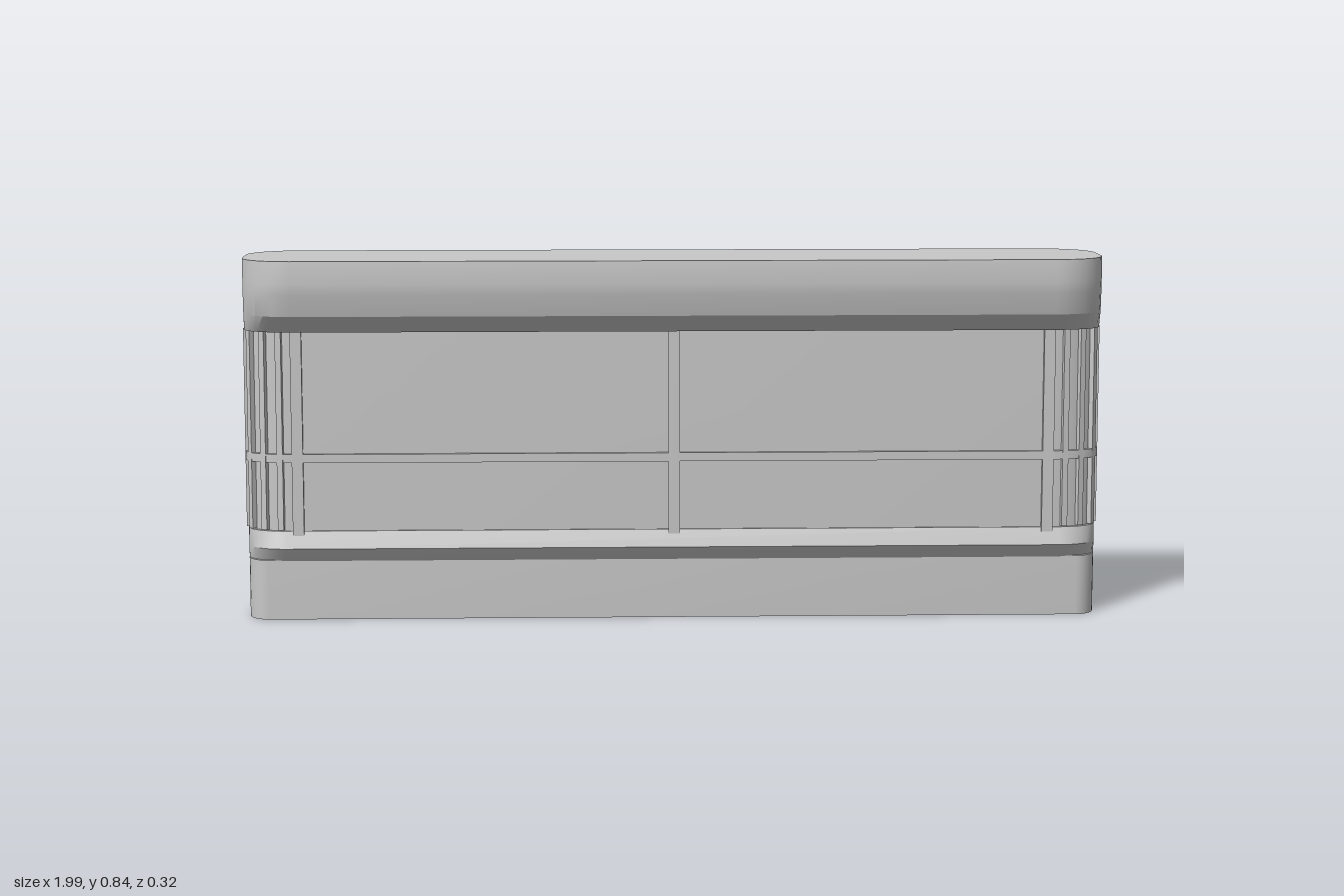
import * as THREE from 'three';
import { toCreasedNormals } from 'three/addons/utils/BufferGeometryUtils.js';

const CORNER = 0.72; // share of the half depth taken by each rounded corner

// Rounded plan outline, running from +x towards +z
function outline(halfX, halfZ, cornerX, steps = 8) {
  const pts = [];
  const rz = halfZ * CORNER;
  for (let q = 0; q < 4; q++) {
    const sx = q === 0 || q === 3 ? 1 : -1;
    const sz = q < 2 ? 1 : -1;
    for (let i = 0; i <= steps; i++) {
      const a = (q + i / steps) * Math.PI / 2;
      pts.push([
        sx * (halfX - cornerX) + cornerX * Math.cos(a),
        sz * (halfZ - rz) + rz * Math.sin(a),
      ]);
    }
  }
  return pts;
}

// Stacks outlines into a closed solid; each level is [y, halfZ]
function loft(levels, halfX, cornerX, centreZ) {
  const pos = [];
  const rings = levels.map(([y, h]) =>
    outline(halfX, h, cornerX).map(([x, z]) => [x, y, z + centreZ]));
  const n = rings[0].length;
  const last = rings.length - 1;
  const low = [0, levels[0][0], centreZ];
  const high = [0, levels[last][0], centreZ];
  for (let i = 0; i < n; i++) {
    const k = (i + 1) % n;
    for (let j = 0; j < last; j++) {
      const a = rings[j][i], b = rings[j][k], c = rings[j + 1][i], d = rings[j + 1][k];
      pos.push(...a, ...c, ...b, ...b, ...c, ...d);
    }
    pos.push(...low, ...rings[0][i], ...rings[0][k]);
    pos.push(...high, ...rings[last][k], ...rings[last][i]);
  }
  const geo = new THREE.BufferGeometry();
  geo.setAttribute('position', new THREE.Float32BufferAttribute(pos, 3));
  return toCreasedNormals(geo, Math.PI / 7);
}

export function createModel() {
  const model = new THREE.Group();
  const grey = new THREE.MeshStandardMaterial({ color: 0xc8c8c8 });
  grey.name = 'plain grey';

  function add(name, geometry, parent = model) {
    const mesh = new THREE.Mesh(geometry, grey);
    mesh.name = name;
    parent.add(mesh);
    return mesh;
  }

  // Plinth and its flared ledge
  add('plinth', loft([[0, 0.089], [0.14, 0.089]], 0.992, 0.05, -0.019));
  add('ledge', loft([[0.138, 0.089], [0.17, 0.111], [0.21, 0.098]], 0.992, 0.09, -0.019));

  // Panelled body, middle rail and overhanging crown
  const bodyZ = -0.013;
  const bodyX = 0.985, bodyHalf = 0.087, bodyCorner = 0.11;
  add('body', loft([[0.205, bodyHalf], [0.68, bodyHalf]], bodyX, bodyCorner, bodyZ));
  add('rail', loft([[0.37, 0.096], [0.39, 0.096]], 0.996, 0.118, bodyZ));
  add('crown', loft([
    [0.675, 0.103], [0.715, 0.145], [0.765, 0.158], [0.79, 0.161], [0.842, 0.157],
  ], 0.992, 0.118, 0));

  // Upright bars, each turned to face outwards
  const bars = new THREE.Group();
  bars.name = 'uprights';
  model.add(bars);
  function bar(x, z, angle, width, bottom = 0.212) {
    const top = 0.676;
    const mesh = add('upright', new THREE.BoxGeometry(width, top - bottom, 0.022), bars);
    mesh.position.set(x, (top + bottom) / 2, z + bodyZ);
    mesh.rotation.y = angle;
  }

  // Front and back bars
  for (const x of [-0.87, 0, 0.87]) bar(x, bodyHalf, 0, 0.026, 0.2);
  for (const x of [-0.89, -0.455, 0.455, 0.89]) bar(x, -bodyHalf, 0, 0.026);

  // Close-set bars around both rounded ends
  const rz = bodyHalf * CORNER;
  for (const side of [-1, 1]) {
    for (const z of [-0.024, 0, 0.024]) bar(side * bodyX, z, Math.PI / 2, 0.012);
    for (const face of [-1, 1]) {
      for (const degrees of [25, 50, 72]) {
        const t = degrees * Math.PI / 180;
        const x = side * (bodyX - bodyCorner + bodyCorner * Math.cos(t));
        const z = face * (bodyHalf - rz + rz * Math.sin(t));
        const nx = side * Math.cos(t) / bodyCorner;
        const nz = face * Math.sin(t) / rz;
        bar(x, z, Math.atan2(nx, nz), 0.014);
      }
    }
  }
  return model;
}
